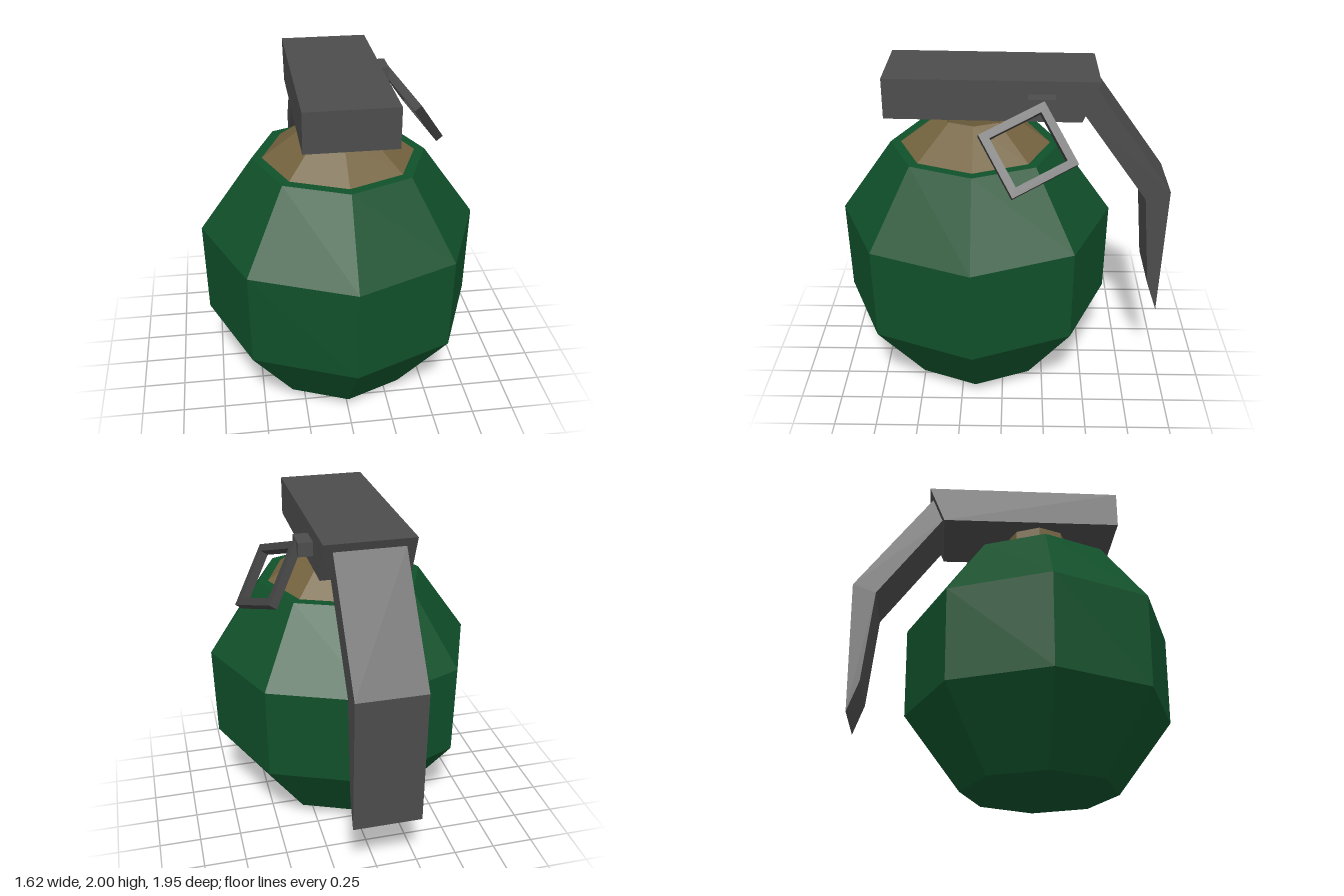
import * as THREE from 'three';

const mat = (color) => new THREE.MeshStandardMaterial({ color, flatShading: true });
const green = mat(0x10502a), tan = mat(0x74633f), steel = mat(0x4c4c4c), darkSteel = mat(0x424242);

const shapeOf = (pts) => new THREE.Shape(pts.map(([x, y]) => new THREE.Vector2(x, y)));

// Eight-sided turned solid from [radius, y] points
function turned(profile) {
  return new THREE.LatheGeometry(profile.map(([r, y]) => new THREE.Vector2(r, y)), 8);
}

// Side profile of [z, y] points, extruded symmetrically across x
function sideProfile(pts, width) {
  const g = new THREE.ExtrudeGeometry(shapeOf(pts.map(([z, y]) => [-z, y])), { depth: width, bevelEnabled: false });
  return g.translate(0, 0, -width / 2).rotateY(Math.PI / 2);
}

// Square ring plate, centred, lying in its own xy plane
function framePlate(w, h, bar, depth) {
  const rect = (a, b) => [[-a, -b], [a, -b], [a, b], [-a, b]];
  const s = shapeOf(rect(w / 2, h / 2));
  s.holes.push(shapeOf(rect(w / 2 - bar, h / 2 - bar).reverse()));
  return new THREE.ExtrudeGeometry(s, { depth, bevelEnabled: false }).translate(0, 0, -depth / 2);
}

export function createModel() {
  const model = new THREE.Group();
  const add = (name, geometry, material, x = 0, y = 0, z = 0) => {
    const m = new THREE.Mesh(geometry, material);
    m.name = name;
    m.position.set(x, y, z);
    model.add(m);
    return m;
  };

  // Faceted shell with a shallow pointed base and a flat top rim
  add('body', turned([[0, 0.005], [0.465, 0.085], [0.8, 0.535], [0.81, 1.09], [0.5, 1.525], [0, 1.525]]), green, 0, 0, 0.165);

  // Tapered collar and neck under the head
  add('collar', turned([[0.44, 1.525], [0.2, 1.703], [0.2, 1.8]]), tan, 0, 0, 0.165);

  // Head block, tilting slightly down to the back
  add('head', sideProfile([[0.66, 2], [0.66, 1.77], [-0.44, 1.753], [-0.535, 1.985]], 0.51), steel);

  // Bent safety lever behind the body
  add('lever', sideProfile([
    [-0.515, 1.935], [-0.45, 1.785], [-0.835, 1.25], [-0.89, 0.67], [-0.955, 0.48], [-0.977, 1.3],
  ], 0.4), steel);

  // Pin stub on the left side of the head
  add('pin', new THREE.BoxGeometry(0.1, 0.08, 0.15), steel, 0.288, 1.875, -0.213);

  // Square pull ring hanging from the pin at an angle
  const ring = add('pullRing', framePlate(0.405, 0.385, 0.045, 0.05), darkSteel, 0.483, 1.685, -0.14);
  const along = new THREE.Vector3(0.358, -0.334, 0.871).normalize();
  const normal = new THREE.Vector3(0.828, 0.612, -0.106).normalize();
  const across = new THREE.Vector3().crossVectors(normal, along).normalize();
  normal.crossVectors(along, across);
  ring.quaternion.setFromRotationMatrix(new THREE.Matrix4().makeBasis(along, across, normal));

  return model;
}
